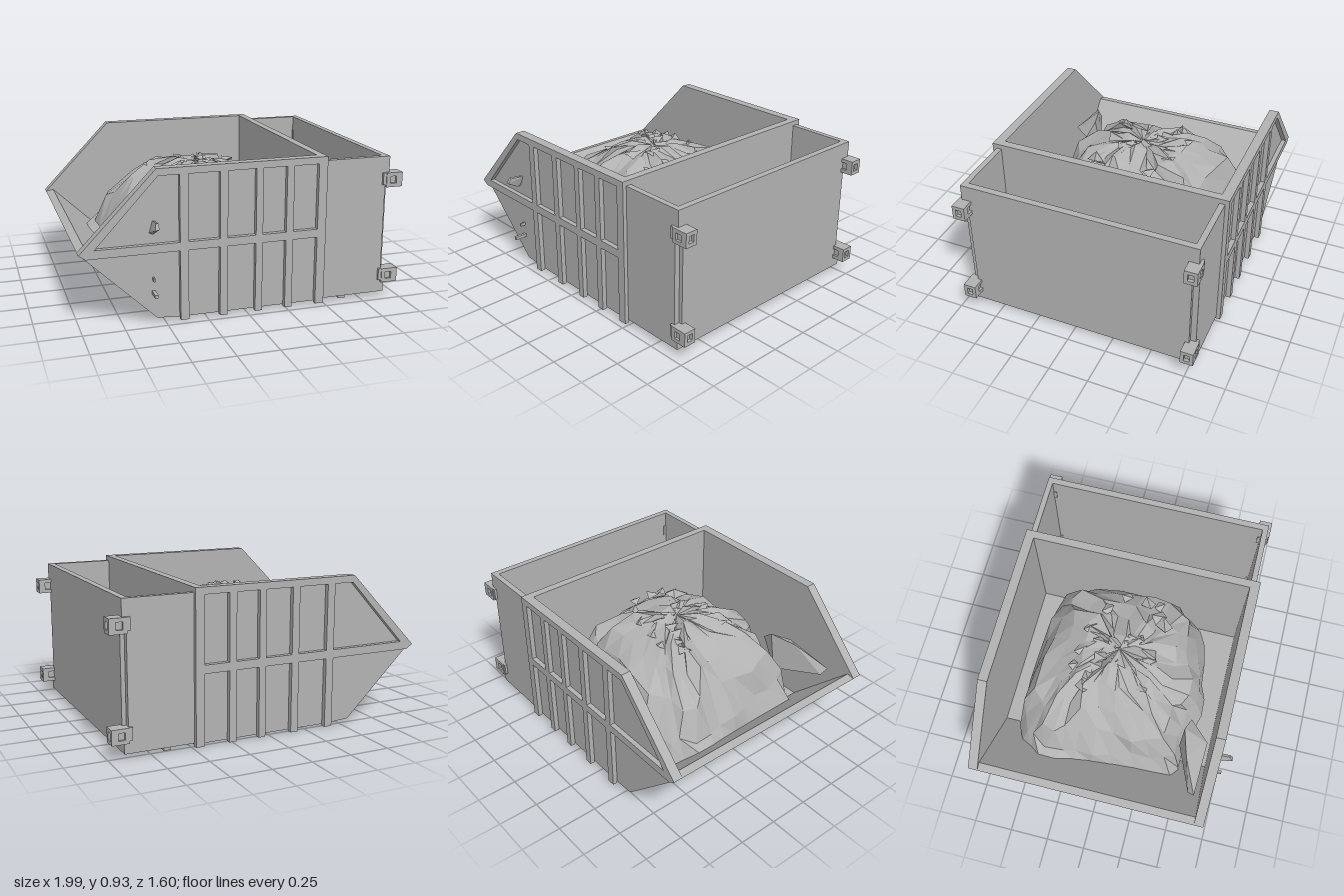
import * as THREE from 'three';
import { ConvexGeometry } from 'three/addons/geometries/ConvexGeometry.js';

const steel = new THREE.MeshStandardMaterial({ color: 0xb2b2b2 });
steel.name = 'grey steel';

const toVec2 = (pts) => pts.map(([x, y]) => new THREE.Vector2(x, y));

// Slab: outline in x/y, extruded between two z values, with optional holes
function slab(name, pts, z0, z1, holes = []) {
  const shape = new THREE.Shape(toVec2(pts));
  holes.forEach((h) => shape.holes.push(new THREE.Path(toVec2(h))));
  const geo = new THREE.ExtrudeGeometry(shape, { depth: z1 - z0, bevelEnabled: false });
  geo.translate(0, 0, z0);
  const mesh = new THREE.Mesh(geo, steel);
  mesh.name = name;
  return mesh;
}

function box(name, x0, x1, y0, y1, z0, z1) {
  const mesh = new THREE.Mesh(new THREE.BoxGeometry(x1 - x0, y1 - y0, z1 - z0), steel);
  mesh.position.set((x0 + x1) / 2, (y0 + y1) / 2, (z0 + z1) / 2);
  mesh.name = name;
  return mesh;
}

const rect = (x0, x1, y0, y1) => [[x0, y0], [x1, y0], [x1, y1], [x0, y1]];

// Small seeded generator, -1..1
function seeded(seed) {
  return () => {
    seed = (seed * 16807) % 2147483647;
    return (seed / 2147483647) * 2 - 1;
  };
}

// Corner lug: block with a square socket in its side and end faces
function cornerLug(y, z) {
  const lug = new THREE.Group();
  lug.name = 'cornerLug';
  const ring = slab('lugBody', rect(-0.04, 0.045, -0.045, 0.045), -0.04, 0.04,
    [rect(-0.015, 0.025, -0.022, 0.022)]);
  const end = slab('lugEnd', rect(-0.04, 0.04, -0.045, 0.045), 0, 0.02,
    [rect(-0.018, 0.018, -0.022, 0.022)]);
  end.rotation.y = Math.PI / 2;
  end.position.x = 0.045;
  lug.add(ring, end, box('lugCore', -0.016, 0.026, -0.023, 0.023, -0.025, 0.025),
    box('lugBracket', -0.06, -0.04, -0.03, 0.045, -0.035, 0.035));
  lug.position.set(0.925, y, z);
  return lug;
}

// Loose rubble heaped in the skip
function rubbleMound() {
  const rnd = seeded(77);
  const outline = new THREE.CatmullRomCurve3([
    [0.45, 0], [0.43, 0.3], [0.3, 0.45], [0, 0.52], [-0.25, 0.55], [-0.45, 0.48], [-0.66, 0.48],
    [-0.7, 0.2], [-0.73, -0.1], [-0.78, -0.35], [-0.7, -0.55], [-0.5, -0.62], [0, -0.6], [0.3, -0.56], [0.42, -0.42],
  ].map(([x, z]) => new THREE.Vector3(x, 0, z)), true);
  const edge = outline.getPoints(34).slice(0, 34);
  const rings = [[0, 0.78], [0.2, 0.78], [0.4, 0.75], [0.6, 0.7], [0.78, 0.62], [0.92, 0.46], [1, 0.27], [0.99, 0.05]];
  const cx = -0.1, cz = -0.04, n = edge.length, pos = [], idx = [];
  rings.forEach(([t, h], i) => edge.forEach((p) => {
    const wobble = i === 0 ? 0 : i < 6 ? 0.03 : 0.012;
    const x = cx + (p.x - cx) * t + rnd() * wobble;
    const z = cz + (p.z - cz) * t + rnd() * wobble;
    // lower towards the open end, never below the floor or ramp
    const y = h - Math.max(0, -0.35 - x) * 0.35 + rnd() * wobble;
    const floor = Math.max(0.05, 0.06 + (-0.53 - x) * 0.94);
    pos.push(x, Math.max(y, floor), z);
  }));
  for (let i = 0; i < rings.length - 1; i++) {
    for (let j = 0; j < n; j++) {
      const k = (j + 1) % n, a = i * n, b = a + n;
      if (i > 0) idx.push(a + j, a + k, b + j);
      idx.push(a + k, b + k, b + j);
    }
  }
  let geo = new THREE.BufferGeometry();
  geo.setAttribute('position', new THREE.Float32BufferAttribute(pos, 3));
  geo.setIndex(idx);
  geo = geo.toNonIndexed();
  geo.computeVertexNormals();
  const mesh = new THREE.Mesh(geo, steel);
  mesh.name = 'rubbleMound';
  return mesh;
}

function chunk(name, pts) {
  const mesh = new THREE.Mesh(new ConvexGeometry(pts.map((p) => new THREE.Vector3(...p))), steel);
  mesh.name = name;
  return mesh;
}

export function createModel() {
  const model = new THREE.Group();
  model.name = 'rubbleSkip';
  const body = new THREE.Group();
  body.name = 'skipBody';
  body.position.z = -0.04;
  model.add(body);

  // Ramp, floor, divider and end wall in one section
  body.add(slab('floorAndCrossWalls', [
    [-1, 0.465], [-0.55, 0.03], [0.91, 0.03], [0.91, 0.9], [0.87, 0.9], [0.87, 0.07], [0.49, 0.07],
    [0.49, 0.93], [0.44, 0.93], [0.44, 0.07], [-0.53, 0.07], [-0.95, 0.475],
  ], -0.7, 0.7));

  // Ribbed side: a comb-shaped frame over a plain wall
  const ribs = [[-0.415, -0.365], [-0.175, -0.128], [0.045, 0.088], [0.235, 0.28], [0.435, 0.49]];
  const frame = [[-1, 0.465], [-0.96, 0.437]];
  ribs.forEach(([a, b], i) => {
    frame.push([a, 0.437], [a, 0.01], [b, 0.01]);
    if (i < ribs.length - 1) frame.push([b, 0.437]);
  });
  frame.push([0.49, 0.93], [-0.55, 0.93]);
  const panels = [[[-0.91, 0.488], [-0.415, 0.488], [-0.415, 0.888], [-0.54, 0.888]]];
  for (let i = 0; i < ribs.length - 1; i++) panels.push(rect(ribs[i][1], ribs[i + 1][0], 0.488, 0.888));
  const wall = [[-1, 0.465], [-0.55, 0.03], [-0.4, 0.02], [0.49, 0.02], [0.49, 0.93], [-0.55, 0.93]];

  for (const s of [1, -1]) {
    const side = (name, pts, a, b, holes) =>
      body.add(slab(name, pts, Math.min(s * a, s * b), Math.max(s * a, s * b), holes));
    side('sideWall', wall, 0.7, 0.73);
    side('sideRibs', frame, 0.73, 0.76, panels);
    side('rearSideWall', rect(0.49, 0.885, 0.03, 0.9), 0.7, 0.735);
    // corner caps above and below the recessed corner post
    side('cornerCapTop', rect(0.885, 0.91, 0.8, 0.9), 0.7, 0.735);
    side('cornerCapBottom', rect(0.885, 0.91, 0.03, 0.1), 0.7, 0.735);
    for (const y of [0.14, 0.755]) body.add(cornerLug(y, s * 0.715));
  }

  // Skid bar under the rear compartment
  body.add(box('skidBar', 0.62, 0.665, 0, 0.035, -0.7, 0.7));

  // Latch hook and pegs on the front side
  model.add(chunk('latchHook', [
    [-0.59, 0.55, 0.68], [-0.575, 0.55, 0.72], [-0.58, 0.595, 0.8], [-0.555, 0.6, 0.8],
    [-0.57, 0.635, 0.78], [-0.555, 0.63, 0.78], [-0.57, 0.62, 0.68], [-0.555, 0.62, 0.68],
  ]));
  model.add(box('latchPeg', -0.58, -0.56, 0.182, 0.202, 0.68, 0.77));
  model.add(box('latchPin', -0.575, -0.565, 0.265, 0.285, 0.68, 0.725));

  // Rubble, a leaning slab and scattered shards
  model.add(rubbleMound());
  model.add(chunk('leaningSlab', [
    [-0.82, 0.46, 0.62], [-0.8, 0.42, 0.58], [-0.62, 0.58, 0.52], [-0.45, 0.6, 0.47], [-0.36, 0.52, 0.5],
    [-0.48, 0.5, 0.63], [-0.6, 0.38, 0.5], [-0.5, 0.36, 0.46],
  ]));
  const rnd = seeded(4242);
  for (let i = 0; i < 24; i++) {
    const geo = new THREE.TetrahedronGeometry(0.045 + 0.015 * rnd());
    const shard = new THREE.Mesh(geo, steel);
    shard.name = 'rubbleShard';
    shard.scale.set(1.3, 0.5, 1);
    shard.rotation.y = rnd() * Math.PI;
    const x = -0.05 + rnd() * 0.33, z = -0.1 + rnd() * 0.3;
    const r = Math.hypot(x + 0.1, z + 0.04);
    shard.position.set(x, 0.785 - r * r * 0.45, z);
    model.add(shard);
  }
  return model;
}
